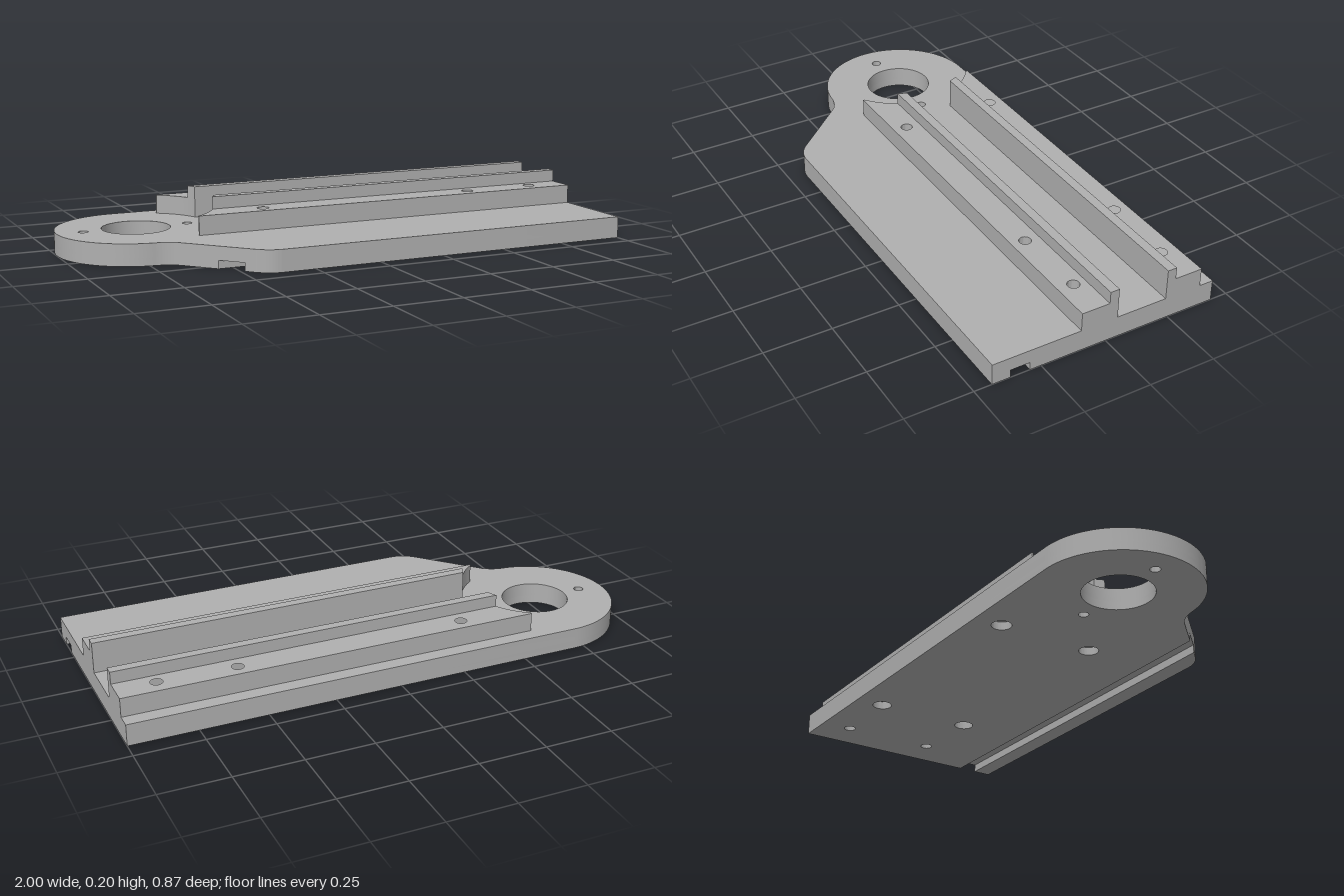
import * as THREE from 'three';
import { toCreasedNormals } from 'three/addons/utils/BufferGeometryUtils.js';

const CX = -0.707, CZ = -0.141, R = 0.293; // centre and radius of the rounded end
const EDGE = 0.434, GROOVE_IN = 0.292, GROOVE_OUT = 0.365;
const RAIL_HOLES = [[-0.285, 0.186], [0.571, 0.186], [0.856, 0.178]]; // x, offset from centre line

export function createModel() {
  const group = new THREE.Group();
  const grey = new THREE.MeshStandardMaterial({ color: 0xb0b0b0 });
  grey.name = 'grey metal';

  // Extrudes a plan shape (x, -z) upward between two heights.
  const slab = (name, shape, y0, y1) => {
    const geo = new THREE.ExtrudeGeometry(shape, { depth: y1 - y0, bevelEnabled: false, curveSegments: 32 });
    geo.rotateX(-Math.PI / 2).translate(0, y0, 0);
    const mesh = new THREE.Mesh(toCreasedNormals(geo, 0.5), grey);
    mesh.name = name;
    group.add(mesh);
  };
  const drill = (shape, x, z, r) => shape.holes.push(new THREE.Path().absarc(x, -z, r, 0, Math.PI * 2, true));

  // x of the slanted edge at a given z
  const slantX = (z) => -0.461 + (z - 0.392) / 1.083;

  // Plan of the plate, either whole or cut off at the groove
  const plateShape = (cutAtGroove, railHoleRadius) => {
    const s = new THREE.Shape();
    s.moveTo(1, EDGE);
    s.lineTo(CX, EDGE);
    s.absarc(CX, -CZ, R, Math.PI / 2, Math.PI * 1.5 - 0.113, false);
    s.quadraticCurveTo(-0.69, -0.153, slantX(0.183), -0.183);
    if (cutAtGroove) {
      s.lineTo(slantX(GROOVE_IN), -GROOVE_IN);
      s.lineTo(1, -GROOVE_IN);
    } else {
      s.lineTo(slantX(0.392), -0.392);
      s.quadraticCurveTo(slantX(EDGE), -EDGE, -0.371, -EDGE);
      s.lineTo(1, -EDGE);
    }
    s.closePath();
    drill(s, CX, CZ, 0.125);
    for (const dx of [-0.196, 0.196]) drill(s, CX + dx, CZ, 0.018);
    RAIL_HOLES.forEach(([x, d], i) => {
      for (const side of [-1, 1]) drill(s, x, CZ + side * d, i < 2 ? railHoleRadius : 0.022);
    });
    return s;
  };

  // Plate: the lower layer holds the groove and the counterbores
  slab('plateTop', plateShape(false, 0.022), 0.03, 0.08);
  slab('plateBottom', plateShape(true, 0.036), 0, 0.03);
  const lip = new THREE.Shape();
  lip.moveTo(1, -GROOVE_OUT);
  lip.lineTo(slantX(GROOVE_OUT), -GROOVE_OUT);
  lip.lineTo(slantX(0.392), -0.392);
  lip.quadraticCurveTo(slantX(EDGE), -EDGE, -0.371, -EDGE);
  lip.lineTo(1, -EDGE);
  lip.closePath();
  slab('grooveLip', lip, 0, 0.03);

  // Strip between two offsets from the centre line, its end scooped round the big hole
  const stripShape = (side, a, b) => {
    const s = new THREE.Shape();
    s.moveTo(1, -(CZ + side * a));
    const n = 16;
    for (let i = 0; i <= n; i++) {
      const d = a + (b - a) * i / n;
      const x = Math.max(-0.55, CX + Math.sqrt(0.28 ** 2 - d * d));
      s.lineTo(x, -(CZ + side * d));
    }
    s.lineTo(1, -(CZ + side * b));
    s.closePath();
    return s;
  };

  // Two mirrored rails, each a drilled step and a taller inner wall
  for (const side of [-1, 1]) {
    const label = side < 0 ? 'back' : 'front';
    const step = stripShape(side, 0.132, 0.239);
    for (const [x, d] of RAIL_HOLES) drill(step, x, CZ + side * d, 0.022);
    slab(label + 'RailStep', step, 0.08, 0.15);
    slab(label + 'RailWall', stripShape(side, 0.097, 0.132), 0.08, 0.195);
  }
  return group;
}
